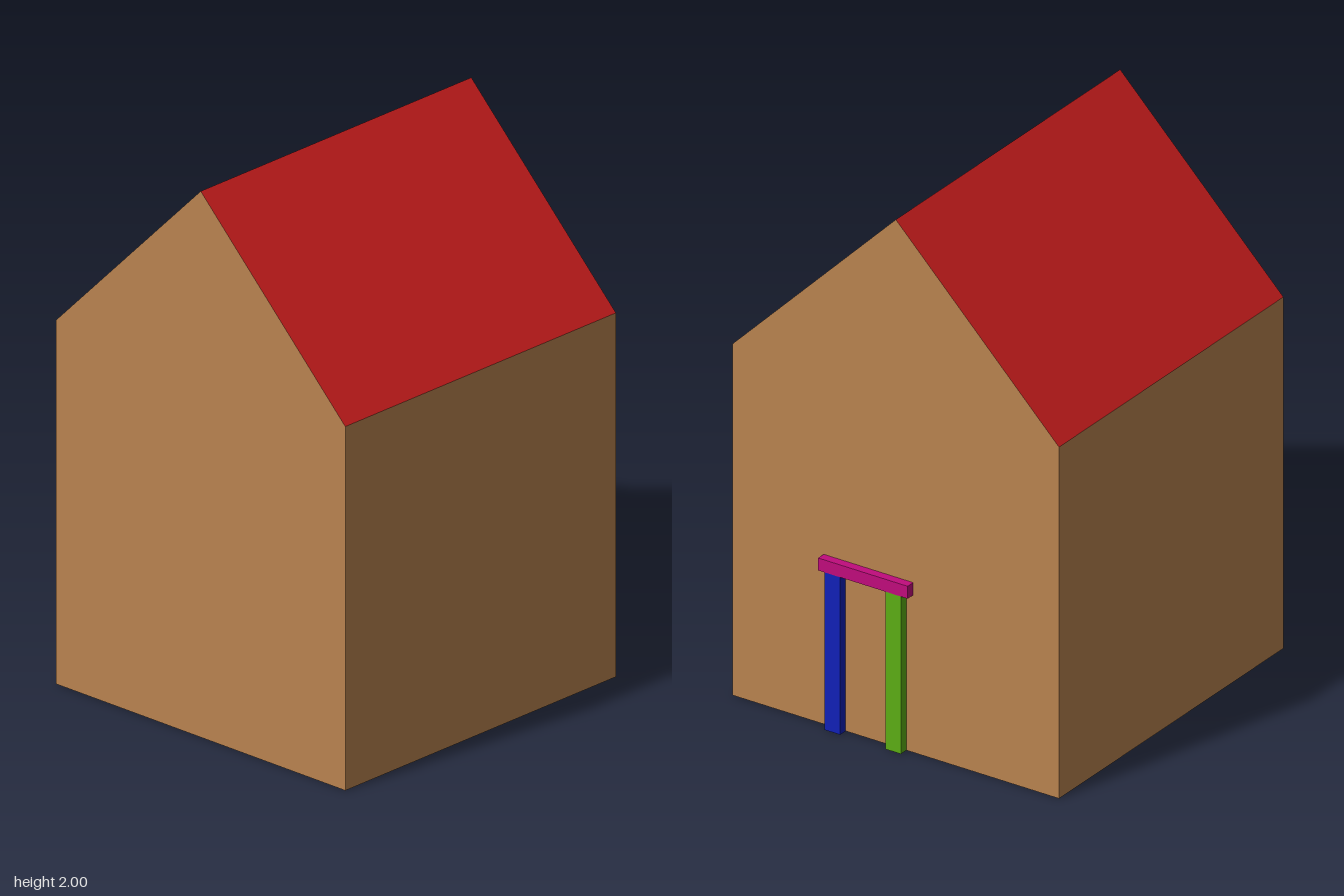
import * as THREE from 'three';

const W = 0.667, EAVE = 1.333, RIDGE = 2, FRONT = 0.683, BACK = -0.65;

const material = (color) => new THREE.MeshStandardMaterial({ color });

// Flat convex panel from corners listed anticlockwise as seen from outside
function panel(name, corners, mat) {
  const positions = [];
  for (let i = 1; i < corners.length - 1; i++) {
    positions.push(...corners[0], ...corners[i], ...corners[i + 1]);
  }
  const geometry = new THREE.BufferGeometry();
  geometry.setAttribute('position', new THREE.Float32BufferAttribute(positions, 3));
  geometry.computeVertexNormals();
  const mesh = new THREE.Mesh(geometry, mat);
  mesh.name = name;
  return mesh;
}

// Box given by its x and y limits, standing against the back wall
function trim(name, x0, x1, y0, y1, color) {
  const depth = FRONT + BACK;
  const mesh = new THREE.Mesh(new THREE.BoxGeometry(x1 - x0, y1 - y0, depth), material(color));
  mesh.position.set((x0 + x1) / 2, (y0 + y1) / 2, BACK - depth / 2);
  mesh.name = name;
  return mesh;
}

export function createModel() {
  const house = new THREE.Group();
  house.name = 'house';
  const wall = material(0xb9834f);
  const roof = material(0xc41c1c);

  // House outline, anticlockwise from the bottom right of the front
  const outline = [[W, 0], [W, EAVE], [0, RIDGE], [-W, EAVE], [-W, 0]];
  house.add(panel('frontWall', outline.map(([x, y]) => [x, y, FRONT]), wall));
  house.add(panel('backWall', outline.map(([x, y]) => [x, y, BACK]).reverse(), wall));

  // Sides, roof slopes and floor run from front to back along each outline edge
  const names = ['leftWall', 'leftRoof', 'rightRoof', 'rightWall', 'floor'];
  names.forEach((name, i) => {
    const a = outline[i], b = outline[(i + 1) % outline.length];
    const corners = [[...a, FRONT], [...a, BACK], [...b, BACK], [...b, FRONT]];
    house.add(panel(name, corners, name.endsWith('Roof') ? roof : wall));
  });

  // Door frame on the back wall
  const frame = new THREE.Group();
  frame.name = 'doorFrame';
  frame.add(
    trim('leftDoorPost', 0.205, 0.268, 0, 0.597, 0x1020b8),
    trim('rightDoorPost', -0.043, 0.02, 0, 0.597, 0x5cae14),
    trim('doorLintel', -0.071, 0.295, 0.597, 0.644, 0xc00c7c)
  );
  house.add(frame);
  return house;
}
